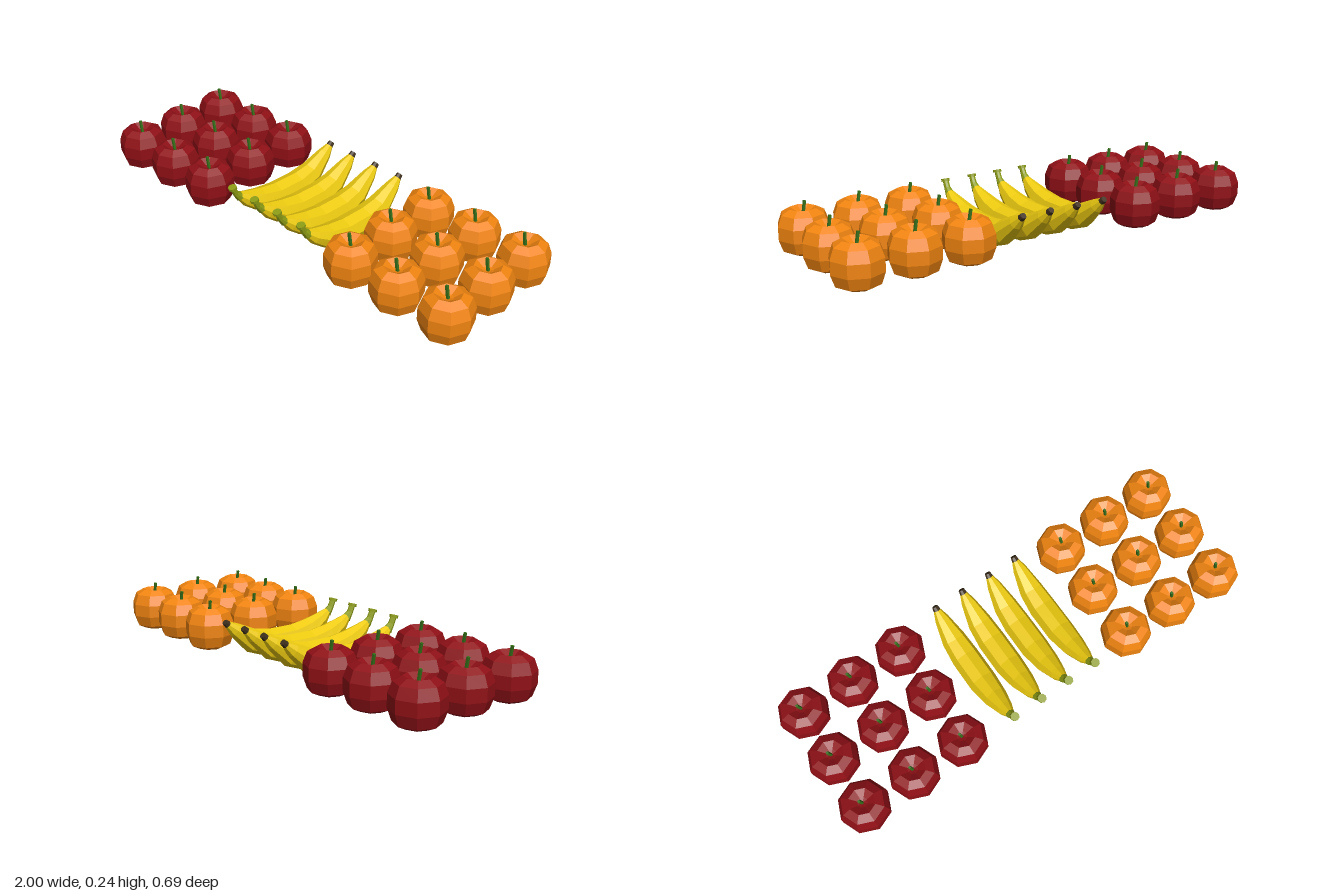
import * as THREE from 'three';

const paint = (color) => new THREE.MeshStandardMaterial({ color, flatShading: true });
const PITCH = 0.237; // spacing of the fruit grid

// Lofts an eight-sided tube through sections [z, y, radius] lying in the YZ plane.
function loft(sections, sides = 8) {
  const pos = [], index = [];
  const n = sections.length;
  sections.forEach(([z, y, r], i) => {
    const [z0, y0] = sections[Math.max(i - 1, 0)];
    const [z1, y1] = sections[Math.min(i + 1, n - 1)];
    const len = Math.hypot(z1 - z0, y1 - y0);
    const tz = (z1 - z0) / len, ty = (y1 - y0) / len;
    for (let j = 0; j < sides; j++) {
      const a = (j / sides) * Math.PI * 2;
      const u = Math.cos(a) * r, v = Math.sin(a) * r;
      pos.push(u, y + v * tz, z - v * ty);
    }
  });
  for (let i = 0; i < n - 1; i++) {
    for (let j = 0; j < sides; j++) {
      const k = (j + 1) % sides;
      const a = i * sides + j, b = i * sides + k;
      index.push(a, b, a + sides, b, b + sides, a + sides);
    }
  }
  // end caps as fans
  const last = (n - 1) * sides;
  for (let j = 1; j < sides - 1; j++) {
    index.push(0, j + 1, j, last, last + j, last + j + 1);
  }
  const geo = new THREE.BufferGeometry();
  geo.setAttribute('position', new THREE.Float32BufferAttribute(pos, 3));
  geo.setIndex(index);
  geo.computeVertexNormals();
  return geo;
}

function add(parent, name, geometry, material) {
  const mesh = new THREE.Mesh(geometry, material);
  mesh.name = name;
  parent.add(mesh);
  return mesh;
}

export function createModel() {
  const model = new THREE.Group();
  model.name = 'fruitDisplay';

  const red = paint(0x8f1016);
  const orange = paint(0xf08410);
  const green = paint(0x36701a);
  const yellow = paint(0xedcb10);
  const olive = paint(0x8d9c14);
  const brown = paint(0x40301c);

  // Round fruit profile, bottom dimple to top dimple
  const profile = [
    [0, 0.05], [0.022, 0.043], [0.055, 0.023], [0.09, 0.04], [0.107, 0.088],
    [0.107, 0.142], [0.09, 0.187], [0.055, 0.207], [0.022, 0.187], [0, 0.18],
  ].map(([x, y]) => new THREE.Vector2(x, y));
  const fruitGeo = new THREE.LatheGeometry(profile, 8);
  const stemGeo = new THREE.BoxGeometry(0.01, 0.064, 0.01);

  function fruitGrid(name, material, cx) {
    const grid = new THREE.Group();
    grid.name = name + 'Grid';
    for (let i = -1; i <= 1; i++) {
      for (let k = -1; k <= 1; k++) {
        const fruit = new THREE.Group();
        fruit.name = name;
        add(fruit, name + 'Body', fruitGeo, material);
        const stem = add(fruit, name + 'Stem', stemGeo, green);
        stem.position.set(-0.004, 0.203, 0);
        stem.rotation.z = 0.17;
        fruit.position.set(cx + i * PITCH, 0, k * PITCH);
        grid.add(fruit);
      }
    }
    model.add(grid);
  }
  fruitGrid('apple', red, -0.656);
  fruitGrid('orange', orange, 0.656);

  // Banana: dark blossom tip, curved body, stalk and its cut end
  const bananaParts = [
    ['bananaTip', brown, [[-0.298, 0.187, 0.013], [-0.283, 0.174, 0.016]]],
    ['bananaBody', yellow, [
      [-0.283, 0.174, 0.016], [-0.25, 0.147, 0.031], [-0.165, 0.086, 0.053],
      [-0.075, 0.061, 0.061], [0.06, 0.061, 0.061], [0.155, 0.086, 0.051],
      [0.225, 0.122, 0.034], [0.262, 0.15, 0.018],
    ]],
    ['bananaStalk', olive, [[0.257, 0.143, 0.021], [0.28, 0.168, 0.014], [0.294, 0.197, 0.013]]],
    ['bananaStalkEnd', olive, [[0.294, 0.195, 0.019], [0.297, 0.206, 0.019]]],
  ].map(([name, material, sections]) => [name, material, loft(sections)]);

  for (let i = 0; i < 4; i++) {
    const banana = new THREE.Group();
    banana.name = 'banana';
    for (const [name, material, geo] of bananaParts) add(banana, name, geo, material);
    banana.position.x = 0.004 + (i - 1.5) * 0.135;
    model.add(banana);
  }

  return model;
}
